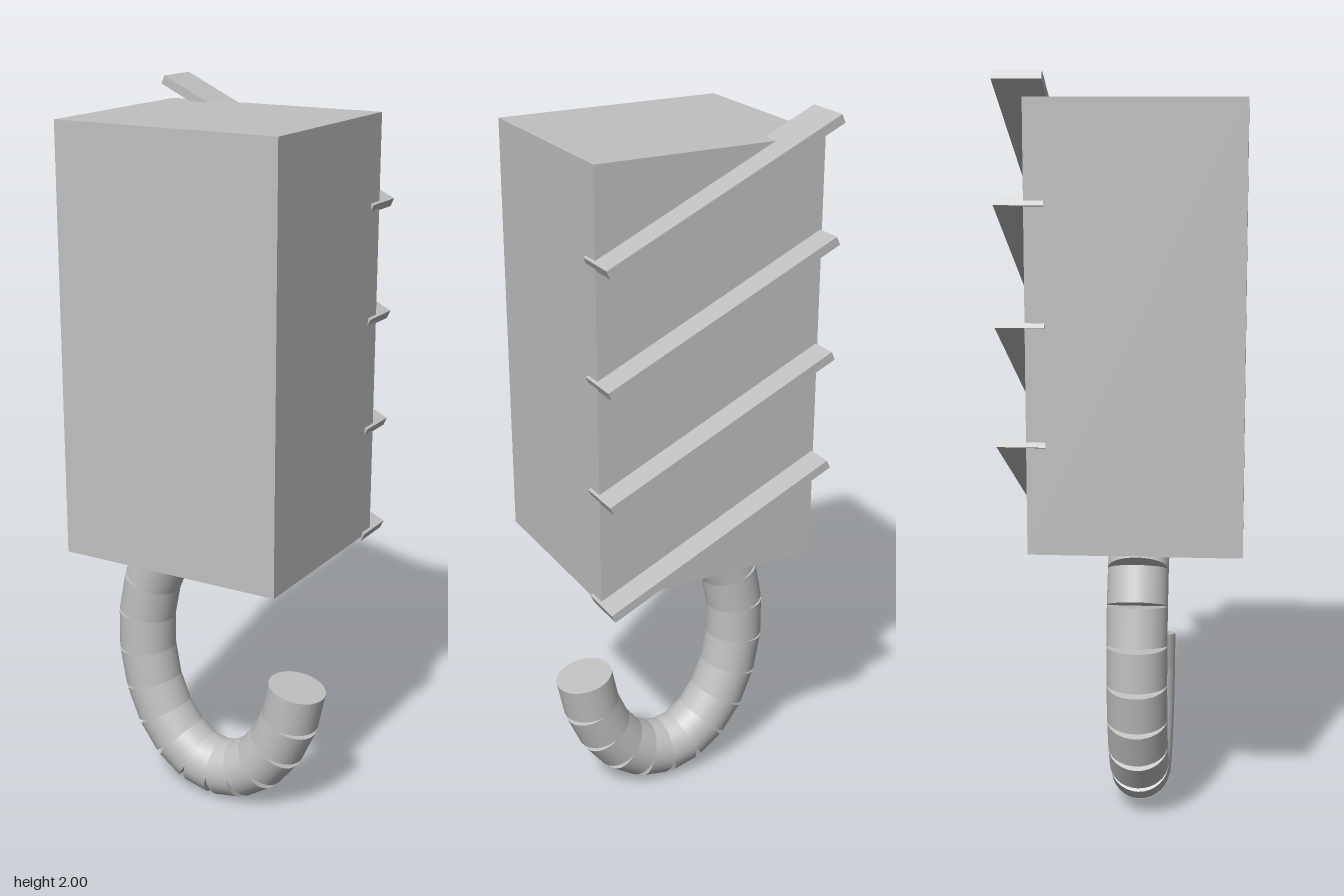
import * as THREE from 'three';

export function createModel() {
  const model = new THREE.Group();
  const grey = new THREE.MeshStandardMaterial({ color: 0xc0c0c0 });
  grey.name = 'plain grey';

  function add(name, geometry, x, y, z) {
    const mesh = new THREE.Mesh(geometry, grey);
    mesh.name = name;
    mesh.position.set(x, y, z);
    model.add(mesh);
    return mesh;
  }

  // Upright body block
  add('body', new THREE.BoxGeometry(0.636, 1.155, 0.554), 0.001, 1.3575, 0.037);

  // Four slanted slats crossing the back, high on the right-hand side
  for (let i = 0; i < 4; i++) {
    const slat = add('slat' + (i + 1), new THREE.BoxGeometry(0.705, 0.024, 0.125),
      0.002, 0.925 + i * 0.305, -0.2525);
    slat.rotation.z = -0.436;
  }

  // Hook: straight round links laid end to end along an ellipse
  const links = 16;
  const pointAt = (i) => {
    const a = THREE.MathUtils.degToRad(90 + (260 * i) / links);
    return new THREE.Vector3(0.248 * Math.cos(a), 0.46 + 0.38 * Math.sin(a), 0.038);
  };
  const up = new THREE.Vector3(0, 1, 0);
  for (let i = 0; i < links; i++) {
    const from = pointAt(i), to = pointAt(i + 1);
    const axis = to.clone().sub(from);
    const mid = from.clone().add(to).multiplyScalar(0.5);
    const link = add('hookLink' + (i + 1),
      new THREE.CylinderGeometry(0.081, 0.081, axis.length(), 32), mid.x, mid.y, mid.z);
    link.quaternion.setFromUnitVectors(up, axis.normalize());
  }

  return model;
}
